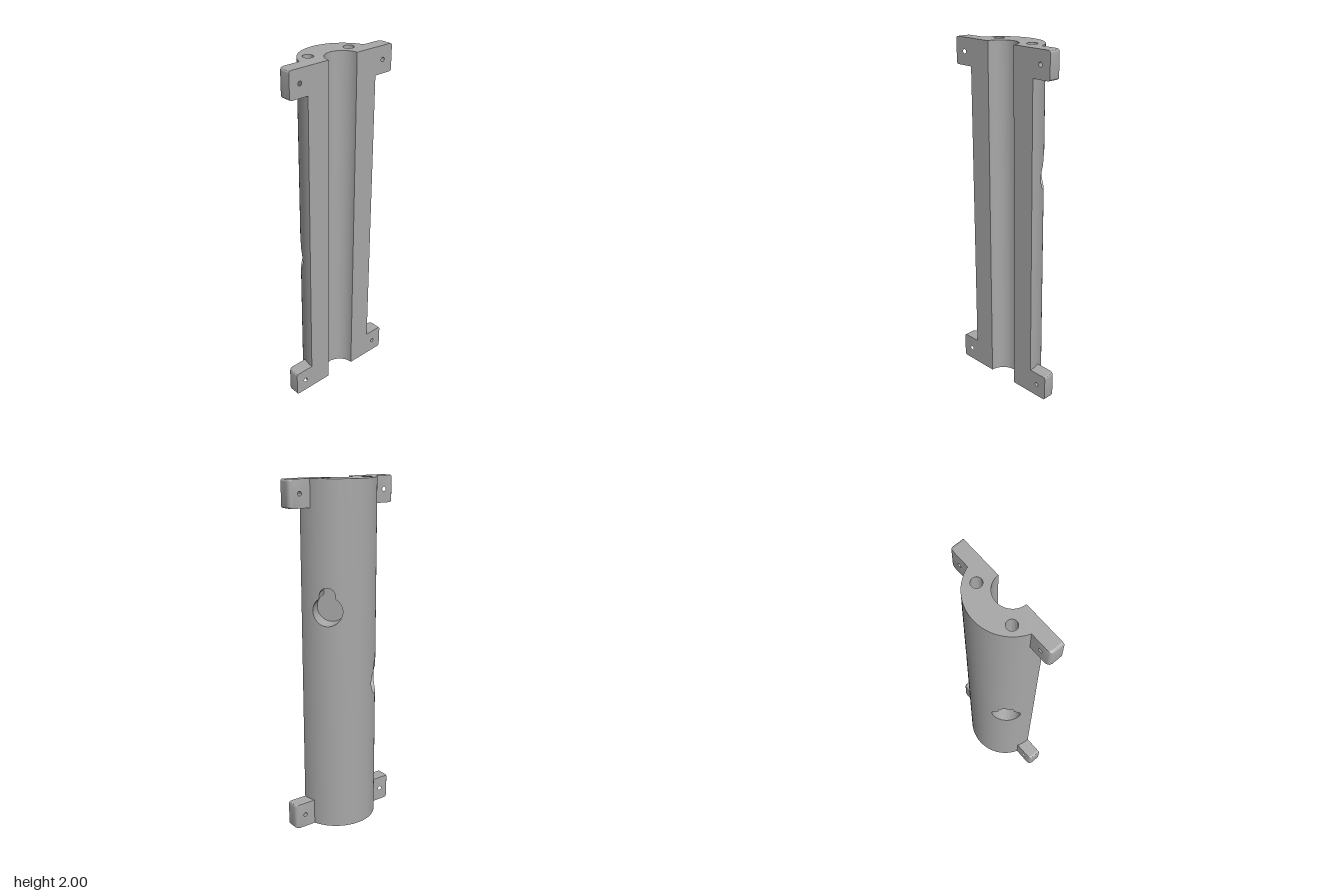
import * as THREE from 'three';
import { toCreasedNormals } from 'three/addons/utils/BufferGeometryUtils.js';

const H = 2, C = 0.115, R = 0.23, BORE = 0.095;           // height, axis x, outer and bore radius
const POCKET_R = 0.083, SLOT_R = 0.045, SLOT_UP = 0.085;  // keyhole circle and slot
const FLOOR = 0.105;                                      // keyhole floor distance from the axis
const TAB_X = 0.037, TAB_END = 0.345, TAB_H = 0.15;

const pockets = [
  { a: THREE.MathUtils.degToRad(47), y: 0.85, drill: [0, 0.13] },
  { a: THREE.MathUtils.degToRad(-47), y: 1.3, drill: [0.016, -0.13] },
];

// Keyhole outline: lowest and highest y at sideways offset t
function keyhole(p, t) {
  const h = Math.sqrt(Math.max(0, POCKET_R ** 2 - t * t));
  const top = Math.abs(t) < SLOT_R ? SLOT_UP + Math.sqrt(SLOT_R ** 2 - t * t) : h;
  return [p.y - h, p.y + top];
}

// Sideways sample positions across a keyhole
const offsets = [];
for (let i = 0; i <= 24; i++) {
  const c = -Math.cos(Math.PI * i / 24);
  offsets.push(c * POCKET_R, c * (SLOT_R - 0.0001));
}
offsets.push(-SLOT_R - 0.0001, SLOT_R + 0.0001);
offsets.sort((m, n) => m - n);

function quad(out, a, b, c, d) {
  out.push(...a, ...b, ...c, ...a, ...c, ...d);
}

function fromTriangles(list) {
  const g = new THREE.BufferGeometry();
  g.setAttribute('position', new THREE.Float32BufferAttribute(list, 3));
  return g;
}

// Smooth normals pointing away from (1) or towards (-1) the long axis
function radialNormals(g, sign) {
  const p = g.attributes.position, n = [];
  for (let i = 0; i < p.count; i++) {
    const x = p.getX(i) - C, z = p.getZ(i), l = Math.hypot(x, z) * sign;
    n.push(x / l, 0, z / l);
  }
  g.setAttribute('normal', new THREE.Float32BufferAttribute(n, 3));
  return g;
}

const onArc = (r, a, y) => [C - r * Math.cos(a), y, r * Math.sin(a)];

// Half-round outer wall with the keyhole openings left out
function outerWall() {
  const half = Math.asin(POCKET_R / R), angles = [], out = [];
  const near = a => pockets.find(p => Math.abs(a - p.a) < half);
  for (let i = 0; i <= 64; i++) {
    const a = Math.PI * (i / 64 - 0.5);
    if (!near(a)) angles.push(a);
  }
  for (const p of pockets) for (const t of offsets) angles.push(p.a + Math.asin(t / R));
  angles.sort((m, n) => m - n);
  for (let i = 0; i < angles.length - 1; i++) {
    const a = angles[i], b = angles[i + 1], p = near((a + b) / 2);
    const panel = (a0, b0, b1, a1) =>
      quad(out, onArc(R, a, a0), onArc(R, b, b0), onArc(R, b, b1), onArc(R, a, a1));
    if (!p) { panel(0, 0, H, H); continue; }
    const ka = keyhole(p, R * Math.sin(a - p.a)), kb = keyhole(p, R * Math.sin(b - p.a));
    panel(0, 0, kb[0], ka[0]);
    panel(ka[1], kb[1], H, H);
  }
  return radialNormals(fromTriangles(out), 1);
}

function boreWall() {
  const out = [], n = 48;
  for (let i = 0; i < n; i++) {
    const a = Math.PI * (i / n - 0.5), b = Math.PI * ((i + 1) / n - 0.5);
    quad(out, onArc(BORE, b, 0), onArc(BORE, a, 0), onArc(BORE, a, H), onArc(BORE, b, H));
  }
  return radialNormals(fromTriangles(out), -1);
}

// Side walls and flat floor of a keyhole recess
function keyholeRecess(p) {
  const out = [], s = Math.sin(p.a), c = Math.cos(p.a);
  const at = (t, r, y) => [C - r * c + t * s, y, r * s + t * c];
  const rim = t => Math.sqrt(R * R - t * t);
  for (let i = 0; i < offsets.length - 1; i++) {
    const t = offsets[i], u = offsets[i + 1];
    if (u - t < 1e-7) continue;
    const [t0, t1] = keyhole(p, t), [u0, u1] = keyhole(p, u);
    quad(out, at(t, FLOOR, t0), at(u, FLOOR, u0), at(u, FLOOR, u1), at(t, FLOOR, t1));
    quad(out, at(t, rim(t), t0), at(u, rim(u), u0), at(u, FLOOR, u0), at(t, FLOOR, t0));
    quad(out, at(t, FLOOR, t1), at(u, FLOOR, u1), at(u, rim(u), u1), at(t, rim(t), t1));
  }
  return toCreasedNormals(fromTriangles(out), 0.6);
}

function halfRing() {
  const s = new THREE.Shape();
  s.absarc(C, 0, R, Math.PI / 2, Math.PI * 1.5, false);
  s.absarc(C, 0, BORE, Math.PI * 1.5, Math.PI / 2, true);
  return s;
}

// Mounting tab: rounded outer corners, screw hole, rounded rear outer edge
function tabGeometry(side, y) {
  const r = 0.015, s = new THREE.Shape(), depth = C - TAB_X, edge = 0.0195;
  s.moveTo(side * 0.212, 0);
  s.lineTo(side * (TAB_END - r), 0);
  s.quadraticCurveTo(side * TAB_END, 0, side * TAB_END, r);
  s.lineTo(side * TAB_END, TAB_H - r);
  s.quadraticCurveTo(side * TAB_END, TAB_H, side * (TAB_END - r), TAB_H);
  s.lineTo(side * 0.212, TAB_H);
  s.closePath();
  const hole = new THREE.Path();
  hole.absarc(side * 0.28, TAB_H / 2, 0.012, 0, Math.PI * 2, true);
  s.holes.push(hole);
  const g = new THREE.ExtrudeGeometry(s, { depth, steps: 6, bevelEnabled: false, curveSegments: 10 });
  const p = g.attributes.position;
  for (let i = 0; i < p.count; i++) {
    const d = depth * (p.getZ(i) / depth) ** 2;
    p.setZ(i, d);
    if (Math.abs(p.getX(i)) > 0.32 && d < edge) {
      const inset = edge - Math.sqrt(edge ** 2 - (edge - d) ** 2);
      p.setX(i, p.getX(i) - side * inset);
    }
  }
  g.rotateY(Math.PI / 2).translate(TAB_X, y, 0);
  return toCreasedNormals(g, 0.6);
}

export function createModel() {
  const group = new THREE.Group();
  const gray = new THREE.MeshStandardMaterial({ color: 0xa8a8a8 });
  gray.name = 'plain gray';
  const add = (name, geometry) => {
    const mesh = new THREE.Mesh(geometry, gray);
    mesh.name = name;
    group.add(mesh);
  };

  add('outerWall', outerWall());
  add('boreWall', boreWall());

  // End faces, the top one pierced by the drilled holes
  const top = halfRing();
  for (const p of pockets) {
    const hole = new THREE.Path();
    hole.absarc(p.drill[0], -p.drill[1], 0.029, 0, Math.PI * 2, true);
    top.holes.push(hole);
  }
  add('topFace', new THREE.ShapeGeometry(top, 48).rotateX(-Math.PI / 2).translate(0, H, 0));
  add('bottomFace', new THREE.ShapeGeometry(halfRing(), 48).rotateX(Math.PI / 2));

  // Keyhole recesses and the drilled holes running down to them
  for (const p of pockets) {
    add('keyholeRecess', keyholeRecess(p));
    const end = p.y + SLOT_UP + SLOT_R;
    const profile = [[0.029, H], [0.029, end], [0, end]].map(q => new THREE.Vector2(...q));
    const bore = new THREE.LatheGeometry(profile, 48).translate(p.drill[0], 0, p.drill[1]);
    add('drilledHole', toCreasedNormals(bore, 0.6));
  }

  // Flat joining faces and the four tabs
  for (const side of [1, -1]) {
    const face = new THREE.PlaneGeometry(R - BORE, H).rotateY(Math.PI / 2);
    add('joiningFace', face.translate(C, H / 2, side * (R + BORE) / 2));
    for (const y of [0, H - TAB_H]) add('mountingTab', tabGeometry(side, y));
  }
  return group;
}
